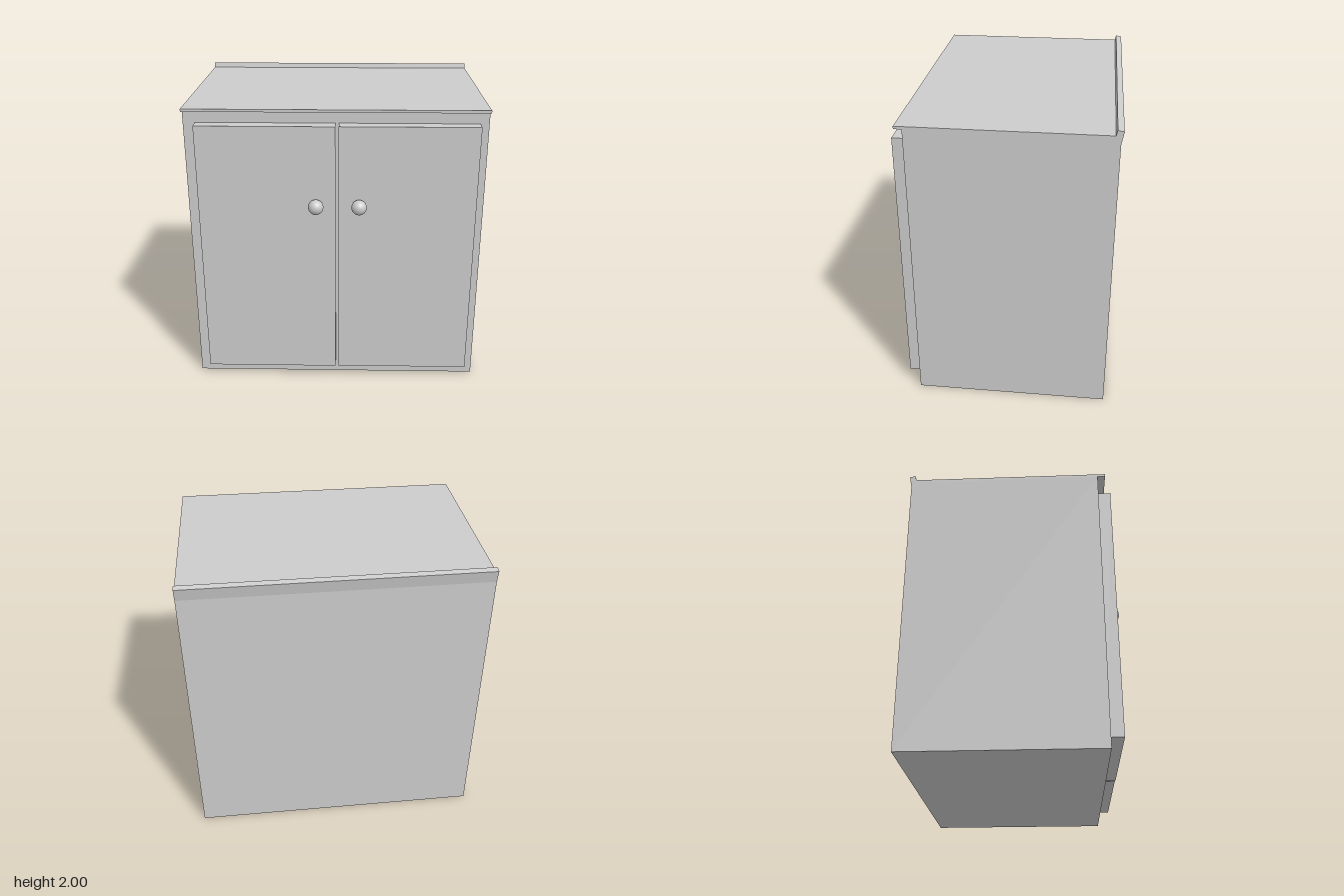
import * as THREE from 'three';

const WIDTH = 1.96;

export function createModel() {
  const group = new THREE.Group();
  const material = new THREE.MeshStandardMaterial({ color: 0xcccccc });

  const add = (name, geometry) => {
    const mesh = new THREE.Mesh(geometry, material);
    mesh.name = name;
    group.add(mesh);
    return mesh;
  };

  // Box given by its lower and upper corners
  const addBox = (name, [x0, y0, z0], [x1, y1, z1]) =>
    add(name, new THREE.BoxGeometry(x1 - x0, y1 - y0, z1 - z0))
      .position.set((x0 + x1) / 2, (y0 + y1) / 2, (z0 + z1) / 2);

  const half = WIDTH / 2;
  addBox('cabinetBody', [-half, 0, -0.717], [half, 1.947, 0.562]);

  // Thin top, overhanging the front
  addBox('worktop', [-half, 1.947, -0.7], [half, 1.965, 0.613]);

  // Raised rear lip, leaning slightly backwards; profile as (z, y)
  const profile = new THREE.Shape([
    [-0.717, 1.91], [-0.685, 1.91], [-0.685, 1.965],
    [-0.693, 2.0], [-0.732, 1.992],
  ].map(([z, y]) => new THREE.Vector2(z, y)));
  const lip = new THREE.ExtrudeGeometry(profile, { depth: WIDTH, bevelEnabled: false });
  lip.translate(0, 0, -half).rotateY(-Math.PI / 2);
  add('rearLip', lip);

  // Two doors with a narrow gap, each with a round knob
  const doors = [
    { side: 'right', x0: -0.9, x1: 0, front: 0.649, knobX: -0.127 },
    { side: 'left', x0: 0.022, x1: 0.922, front: 0.645, knobX: 0.155 },
  ];
  for (const { side, x0, x1, front, knobX } of doors) {
    addBox(side + 'Door', [x0, 0.095, 0.55], [x1, 1.865, front]);
    add(side + 'Knob', new THREE.SphereGeometry(0.05, 32, 20))
      .position.set(knobX, 1.333, 0.682);
  }

  return group;
}
